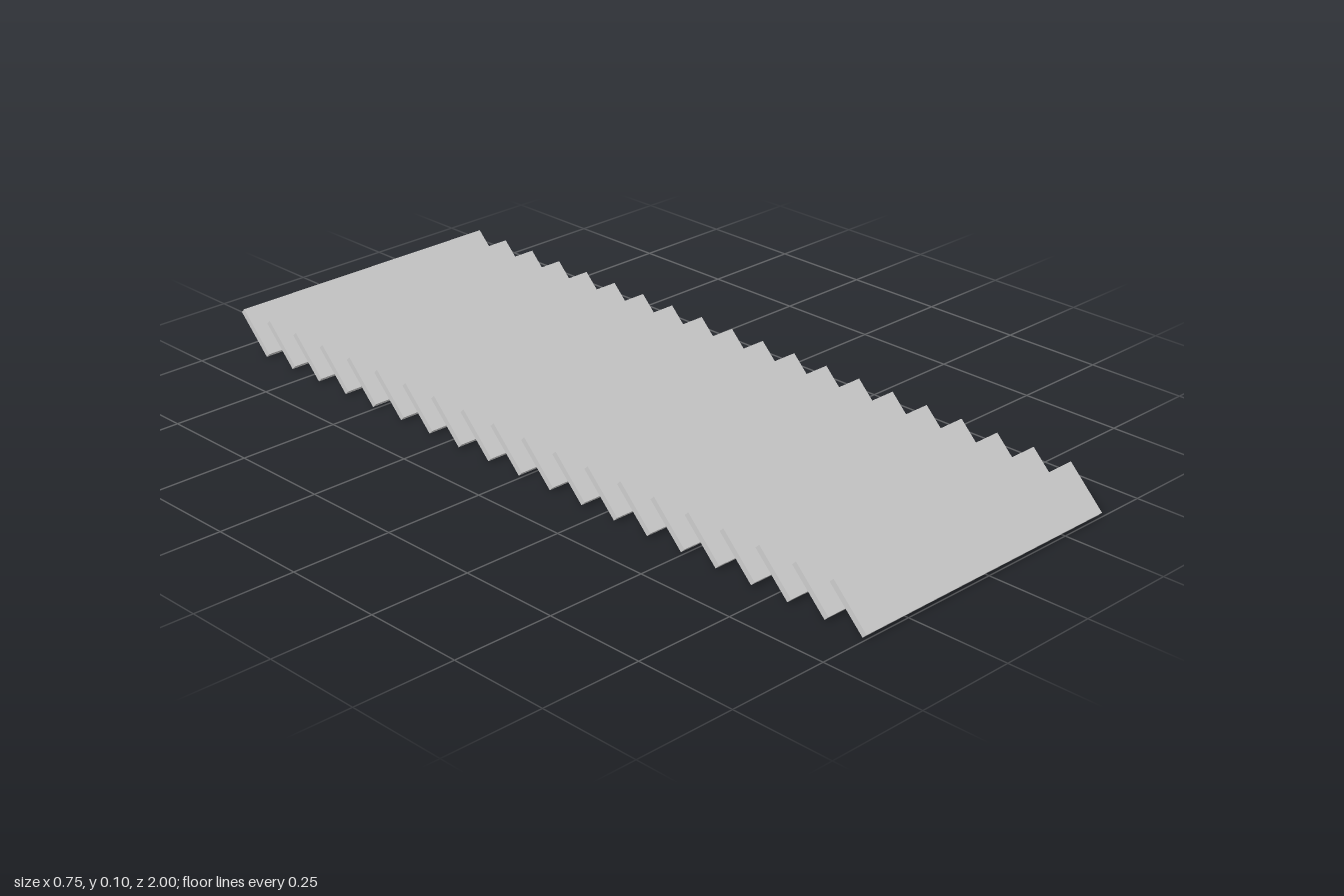
import * as THREE from 'three';

// A row of slanted louvre slats, evenly spaced from front to back.
export function createModel() {
  const group = new THREE.Group();
  group.name = 'louvreSlats';

  const count = 20, pitch = 0.1;
  const width = 0.75, depth = 0.127, thickness = 0.0141;
  const material = new THREE.MeshStandardMaterial({ color: 0xcccccc, flatShading: true });
  const geometry = new THREE.BoxGeometry(width, thickness, depth);

  for (let i = 0; i < count; i++) {
    const slat = new THREE.Mesh(geometry, material);
    slat.name = `slat${i + 1}`;
    // Front edge down, back edge up
    slat.rotation.x = Math.PI / 4;
    slat.position.set(0, 0.05, ((count - 1) / 2 - i) * pitch);
    group.add(slat);
  }
  return group;
}
